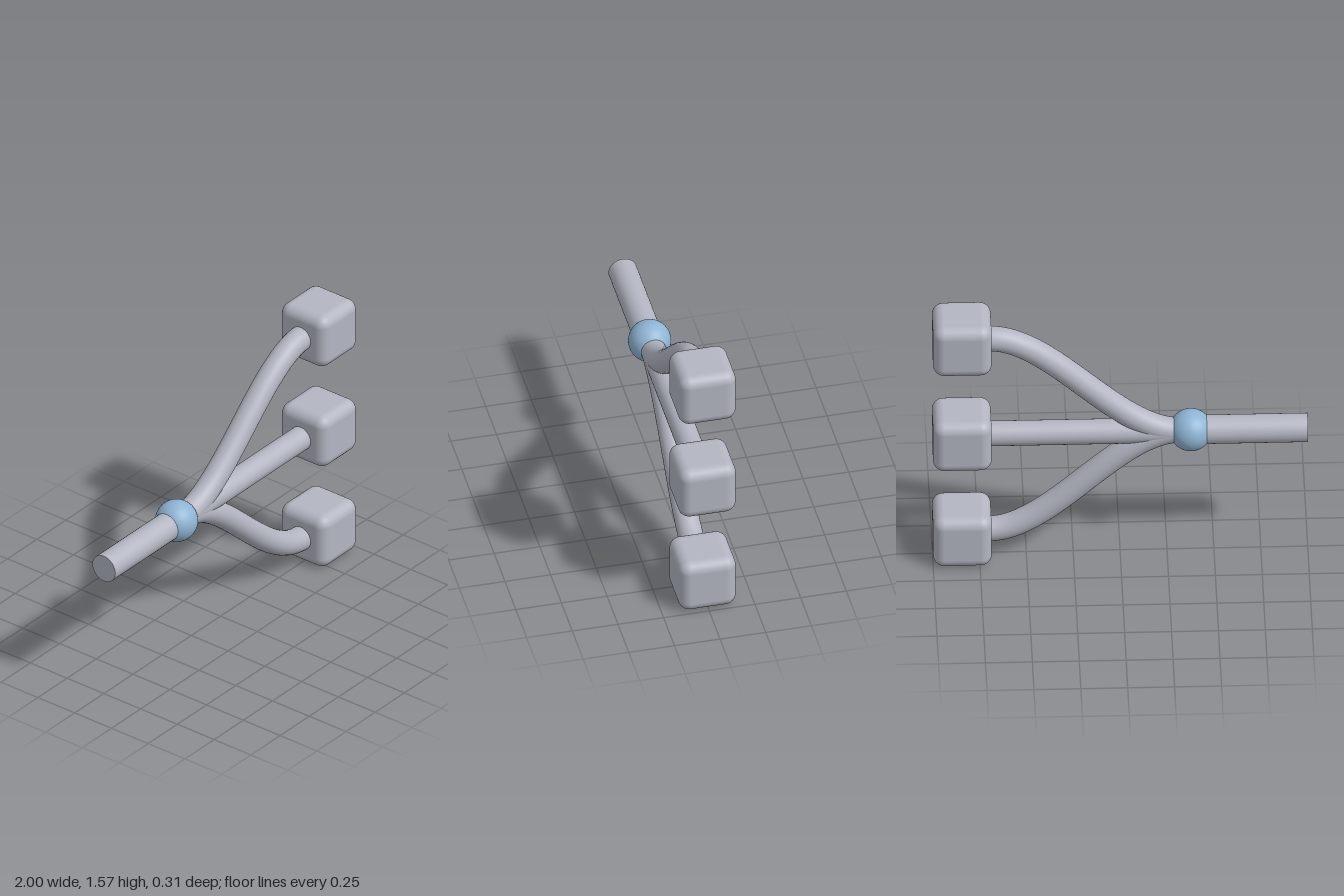
import * as THREE from 'three';
import { RoundedBoxGeometry } from 'three/addons/geometries/RoundedBoxGeometry.js';

const MID = 0.783;     // height of the main axis
const SPREAD = 0.626;  // vertical distance between outlets
const BOX = 0.313;

export function createModel() {
  const model = new THREE.Group();
  model.name = 'pipeSplitter';
  const grey = new THREE.MeshStandardMaterial({ name: 'pipe grey', color: 0xb3b6c2 });
  const blue = new THREE.MeshStandardMaterial({ name: 'joint blue', color: 0x8fb4d4 });

  const add = (name, geometry, material, x, y) => {
    const mesh = new THREE.Mesh(geometry, material);
    mesh.name = name;
    mesh.position.set(x, y, 0);
    model.add(mesh);
  };

  // Inlet pipe, running from the far right end into the joint
  const inlet = new THREE.CylinderGeometry(0.078, 0.078, 0.64, 32);
  inlet.rotateZ(Math.PI / 2);
  add('inletPipe', inlet, grey, -0.68, MID);

  // Ball joint
  add('ballJoint', new THREE.SphereGeometry(0.115, 40, 28), blue, -0.377, MID);

  // Three branches, each an S-curve ending in a rounded block
  for (const [label, side] of [['lower', -1], ['middle', 0], ['upper', 1]]) {
    const rise = side * SPREAD;
    const path = new THREE.CubicBezierCurve3(
      new THREE.Vector3(-0.32, 0, 0),
      new THREE.Vector3(0.02, 0, 0),
      new THREE.Vector3(0.36, rise, 0),
      new THREE.Vector3(0.70, rise, 0)
    );
    add(label + 'BranchPipe', new THREE.TubeGeometry(path, 48, 0.068, 28), grey, 0, MID);
    add(label + 'EndBlock', new RoundedBoxGeometry(BOX, BOX, BOX, 5, 0.06), grey, 1 - BOX / 2, MID + rise);
  }
  return model;
}
